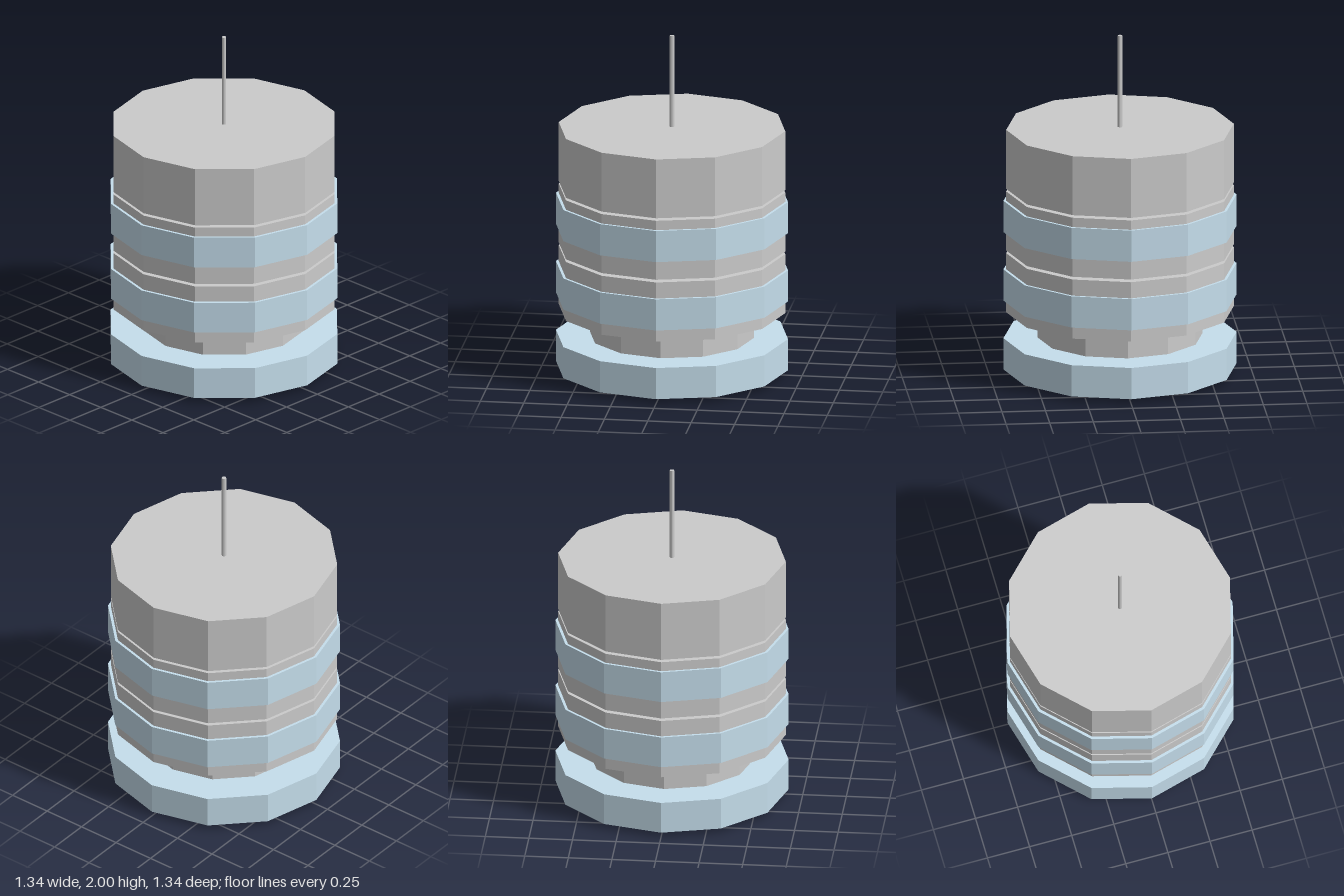
import * as THREE from 'three';

const SIDES = 12;
const grey = new THREE.MeshStandardMaterial({ color: 0xcccccc, flatShading: true });
const blue = new THREE.MeshStandardMaterial({ color: 0xc5deec, flatShading: true });

// Upright twelve-sided drum between two heights
function drum(name, radius, bottom, top, material) {
  const mesh = new THREE.Mesh(
    new THREE.CylinderGeometry(radius, radius, top - bottom, SIDES), material);
  mesh.position.y = (bottom + top) / 2;
  mesh.name = name;
  return mesh;
}

export function createModel() {
  const model = new THREE.Group();
  model.name = 'bandedCylinder';

  // Stacked sections, separated by thin gaps
  model.add(
    drum('baseSection', 0.474, 0, 0.355, grey),
    drum('lowerSection', 0.653, 0.37, 0.722, grey),
    drum('upperSection', 0.653, 0.738, 1.09, grey),
    drum('topSection', 0.653, 1.105, 1.456, grey),
  );

  // Coloured bands, one around each of the three lower sections
  [0.03, 0.44, 0.848].forEach((y, i) => {
    model.add(drum(`band${i + 1}`, 0.669, y, y + 0.186, blue));
  });

  // Thin rod standing on the top
  model.add(drum('antenna', 0.013, 1.45, 2, grey));

  return model;
}
